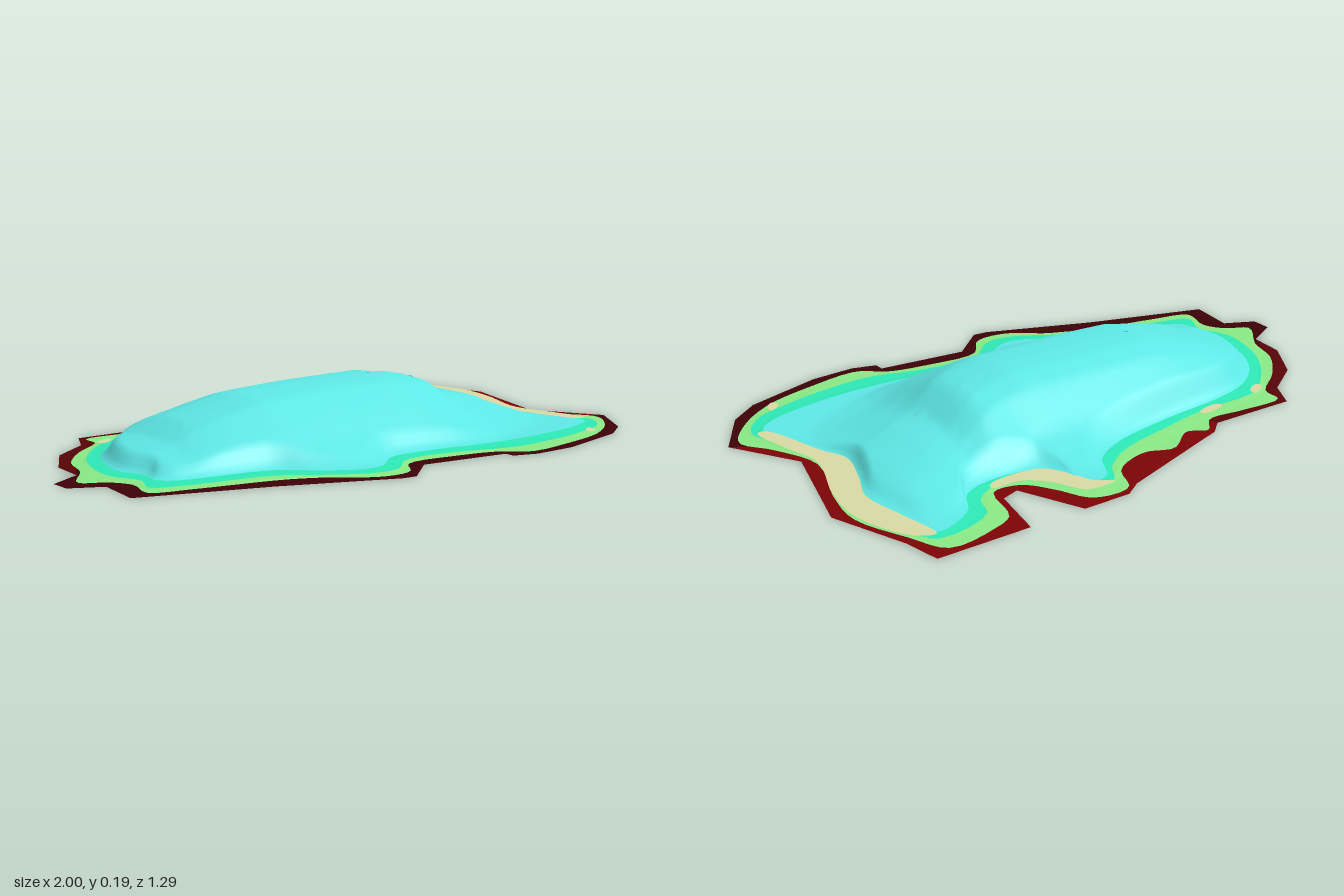
import * as THREE from 'three';

const mat = (name, color) => {
  const m = new THREE.MeshStandardMaterial({ color, side: THREE.DoubleSide });
  m.name = name;
  return m;
};

// Flat list of x, z pairs -> Vector2 points
const pairs = (a) => {
  const out = [];
  for (let i = 0; i < a.length; i += 2) out.push(new THREE.Vector2(a[i], a[i + 1]));
  return out;
};

// Rounded closed contour through x, z pairs
const smooth = (a, n) => {
  const curve = new THREE.CatmullRomCurve3(
    pairs(a).map((p) => new THREE.Vector3(p.x, 0, p.y)), true, 'centripetal');
  return curve.getPoints(n).slice(0, n).map((p) => new THREE.Vector2(p.x, p.z));
};

const toPlan = (pts) => pts.map((p) => new THREE.Vector2(p.x, -p.y));

// Ring between two contours, each at its own height
function band(outer, inner, y0, y1) {
  const shape = new THREE.Shape(toPlan(outer));
  shape.holes.push(new THREE.Path(toPlan(inner)));
  const geo = new THREE.ShapeGeometry(shape).rotateX(-Math.PI / 2);
  const pos = geo.attributes.position;
  for (let i = 0; i < pos.count; i++) pos.setY(i, i < outer.length ? y0 : y1);
  geo.computeVertexNormals();
  return geo;
}

// Piecewise linear lookup
function lookup(table, x) {
  for (let i = 1; i < table.length; i++) {
    const [x0, y0] = table[i - 1], [x1, y1] = table[i];
    if (x <= x1) return THREE.MathUtils.lerp(y0, y1, Math.max(0, (x - x0) / (x1 - x0)));
  }
  return table[table.length - 1][1];
}

// Hill height: ridge height along x times a bell-shaped cross profile along z
const ridgeHeight = [[-0.86, 0.008], [-0.7, 0.06], [-0.62, 0.077], [-0.53, 0.12], [-0.3, 0.174],
  [-0.1, 0.184], [0.22, 0.189], [0.4, 0.16], [0.5, 0.092], [0.6, 0.077], [0.73, 0.05], [0.86, 0.01]];
const crossProfile = [[-0.5, 0.04], [-0.4, 0.16], [-0.3, 0.34], [-0.15, 0.85], [-0.07, 0.98], [0, 1],
  [0.08, 0.98], [0.13, 0.94], [0.25, 0.61], [0.35, 0.32], [0.45, 0.11], [0.52, 0.04]];
const ridgeShift = [[0.3, 0], [0.75, -0.15]];
const hillHeight = (x, z) =>
  lookup(ridgeHeight, x) * lookup(crossProfile, z - lookup(ridgeShift, x));

// Hill surface: the contour shrinks in rings toward a middle line
function hill(contour, base) {
  const rings = 20, n = contour.length, pos = [], idx = [];
  for (let k = 0; k <= rings; k++) {
    const s = k / rings;
    const blend = THREE.MathUtils.smoothstep(s, 0, 0.2);
    for (const p of contour) {
      const mx = THREE.MathUtils.mapLinear(THREE.MathUtils.clamp(p.x, -0.7, 0.75), -0.7, 0.75, -0.5, 0.55);
      const x = THREE.MathUtils.lerp(p.x, mx, s);
      const z = THREE.MathUtils.lerp(p.y, 0.02, s);
      pos.push(x, base + Math.max(0, hillHeight(x, z) - base) * blend, z);
    }
  }
  for (let k = 0; k < rings; k++) {
    for (let i = 0; i < n; i++) {
      const j = (i + 1) % n, a = k * n + i, b = k * n + j, c = a + n, d = b + n;
      idx.push(a, c, b, b, c, d);
    }
  }
  const geo = new THREE.BufferGeometry();
  geo.setAttribute('position', new THREE.Float32BufferAttribute(pos, 3));
  geo.setIndex(idx);
  geo.computeVertexNormals();
  return geo;
}

export function createModel() {
  const group = new THREE.Group();
  const red = mat('rim red', 0x7c0406), wine = mat('rim wine', 0x560406), maroon = mat('rim maroon', 0x3c0206);
  const green = mat('shore green', 0x8aea86), teal = mat('shallow teal', 0x30f2be);
  const cyan = mat('hill cyan', 0x60eeec), sand = mat('beach sand', 0xd8d8a4);
  const add = (name, geo, material) => {
    const mesh = new THREE.Mesh(geo, material);
    mesh.name = name;
    group.add(mesh);
  };

  // Contours, from the angular outer edge inward
  const edge = pairs([
    -1, 0.09, -0.89, 0.03, -0.88, -0.09, -0.79, -0.24, -0.66, -0.33, -0.61, -0.43, -0.32, -0.425,
    -0.27, -0.47, 0.15, -0.61, 0.21, -0.65, 0.37, -0.65, 0.46, -0.44, 0.52, -0.46, 0.56, -0.65,
    0.87, -0.65, 0.89, -0.53, 0.98, -0.27, 0.87, 0.1, 1, 0.32, 0.89, 0.49, 0.79, 0.56,
    0.53, 0.63, 0.38, 0.635, 0.3, 0.61, 0.3, 0.575, 0, 0.54, -0.12, 0.645, -0.17, 0.64,
    -0.52, 0.5, -0.92, 0.37, -0.9, 0.21, -1, 0.16]);
  const shore = smooth([
    -0.94, 0.125, -0.86, 0, -0.82, -0.12, -0.72, -0.24, -0.61, -0.33, -0.6, -0.4, -0.45, -0.4,
    -0.32, -0.39, -0.26, -0.45, -0.2, -0.42, -0.09, -0.49, 0, -0.46, 0.13, -0.51, 0.19, -0.62,
    0.31, -0.61, 0.37, -0.5, 0.43, -0.42, 0.52, -0.41, 0.57, -0.56, 0.65, -0.6, 0.81, -0.62,
    0.87, -0.5, 0.935, -0.32, 0.91, -0.16, 0.84, 0.06, 0.9, 0.22, 0.96, 0.32, 0.89, 0.43,
    0.75, 0.53, 0.57, 0.58, 0.38, 0.6, 0.3, 0.54, 0.17, 0.51, -0.02, 0.5, -0.1, 0.59,
    -0.21, 0.59, -0.34, 0.5, -0.45, 0.45, -0.72, 0.39, -0.85, 0.35, -0.83, 0.24, -0.87, 0.17], 170);
  const shallow = smooth([
    -0.83, 0.11, -0.81, -0.02, -0.76, -0.13, -0.66, -0.25, -0.56, -0.32, -0.34, -0.33, -0.18, -0.36,
    0.03, -0.41, 0.14, -0.48, 0.2, -0.56, 0.3, -0.55, 0.34, -0.45, 0.38, -0.39, 0.49, -0.38,
    0.58, -0.43, 0.62, -0.52, 0.81, -0.56, 0.86, -0.45, 0.89, -0.3, 0.87, -0.18, 0.81, -0.06,
    0.79, 0.04, 0.83, 0.15, 0.88, 0.28, 0.9, 0.36, 0.83, 0.45, 0.72, 0.49, 0.57, 0.52,
    0.38, 0.53, 0.2, 0.48, 0, 0.465, -0.11, 0.55, -0.2, 0.55, -0.33, 0.48, -0.45, 0.4,
    -0.72, 0.35, -0.82, 0.31, -0.79, 0.22], 150);
  const foot = smooth([
    -0.78, 0.08, -0.75, -0.05, -0.69, -0.16, -0.58, -0.25, -0.45, -0.29, -0.18, -0.32, 0.03, -0.365,
    0.14, -0.43, 0.2, -0.53, 0.27, -0.53, 0.29, -0.45, 0.33, -0.38, 0.46, -0.35, 0.59, -0.38,
    0.66, -0.48, 0.8, -0.53, 0.82, -0.38, 0.84, -0.24, 0.79, -0.1, 0.755, 0.03, 0.79, 0.12,
    0.85, 0.28, 0.86, 0.36, 0.79, 0.41, 0.57, 0.45, 0.35, 0.45, 0.14, 0.42, -0.02, 0.42,
    -0.13, 0.5, -0.21, 0.5, -0.32, 0.43, -0.42, 0.35, -0.72, 0.29, -0.76, 0.25, -0.75, 0.18], 150);

  // Outer rim: maroon along the front, wine at the right end, red elsewhere
  const rim = band(edge, shore, 0.001, 0.002);
  const p = rim.attributes.position, ix = rim.index;
  for (let t = 0; t < ix.count; t += 3) {
    let x = 0, z = 0;
    for (let k = 0; k < 3; k++) {
      x += p.getX(ix.getX(t + k)) / 3;
      z += p.getZ(ix.getX(t + k)) / 3;
    }
    const front = z > 0.25 || (x < 0 && z > 0);
    rim.addGroup(t, 3, front ? 2 : x < -0.36 ? 1 : 0);
  }
  add('outerRim', rim, [red, wine, maroon]);

  // Shore bands and hill
  add('shoreBand', band(shore, shallow, 0.002, 0.005), green);
  add('shallowBand', band(shallow, foot, 0.005, 0.008), teal);
  add('hill', hill(foot, 0.008), cyan);

  // Sandy beaches: a thin sheet above the bands and one beneath
  const beaches = {
    leftBeach: [0.8, -0.54, 0.86, -0.51, 0.93, -0.32, 0.91, -0.16, 0.84, 0.06, 0.87, 0.2, 0.89, 0.34,
      0.86, 0.34, 0.79, 0.12, 0.755, 0.03, 0.79, -0.1, 0.84, -0.23, 0.82, -0.38],
    inletBeach: [0.2, -0.57, 0.3, -0.57, 0.355, -0.47, 0.42, -0.41, 0.52, -0.4, 0.5, -0.37,
      0.33, -0.375, 0.28, -0.45, 0.25, -0.53],
    backBeachSmall: [-0.41, -0.345, -0.32, -0.36, -0.32, -0.34, -0.4, -0.325],
    cornerBeachSmall: [-0.62, -0.3, -0.56, -0.335, -0.56, -0.31, -0.61, -0.28],
    frontBeachSmall: [0.73, 0.5, 0.77, 0.47, 0.77, 0.5, 0.74, 0.525],
  };
  for (const [name, pts] of Object.entries(beaches)) {
    const shape = new THREE.Shape(toPlan(smooth(pts, pts.length * 3)));
    for (const [side, y] of [['Top', 0.0095], ['Underside', 0]]) {
      add(name + side, new THREE.ShapeGeometry(shape).rotateX(-Math.PI / 2).translate(0, y, 0), sand);
    }
  }
  return group;
}
